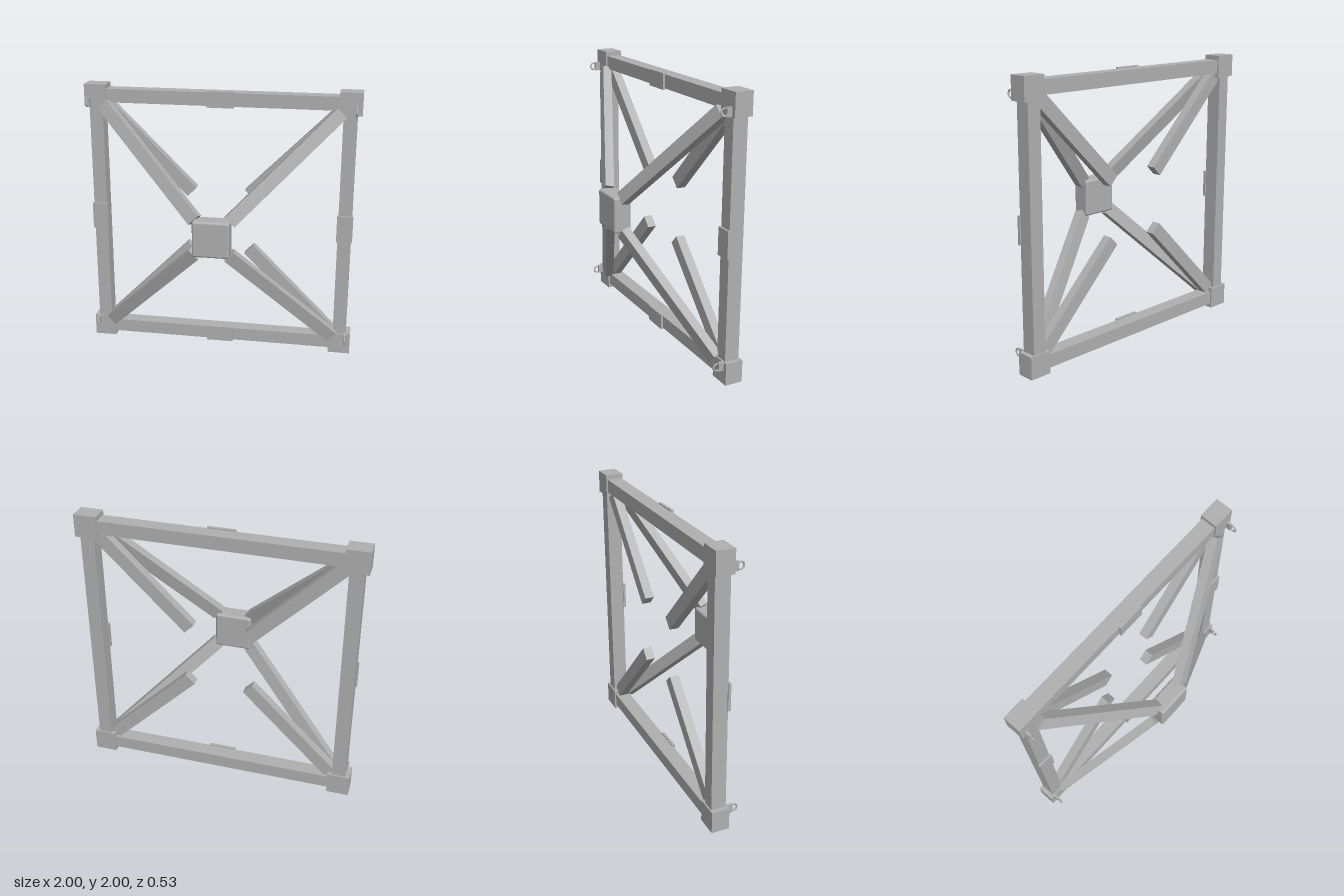
import * as THREE from 'three';
import { RoundedBoxGeometry } from 'three/addons/geometries/RoundedBoxGeometry.js';

export function createModel() {
  const model = new THREE.Group();
  model.name = 'bracedFrame';
  const steel = new THREE.MeshStandardMaterial({ color: 0xb0b0b0 });
  steel.name = 'greySteel';

  function add(name, geometry, x, y, z) {
    const mesh = new THREE.Mesh(geometry, steel);
    mesh.name = name;
    mesh.position.set(x, y, z);
    model.add(mesh);
    return mesh;
  }
  const box = (name, w, h, d, x, y, z) => add(name, new THREE.BoxGeometry(w, h, d), x, y, z);

  // Rectangular bar between two points, its wide face turned to the front
  function bar(name, from, to, width, depth) {
    const along = to.clone().sub(from);
    const length = along.length();
    along.normalize();
    const side = along.clone().cross(new THREE.Vector3(0, 0, 1)).normalize();
    const normal = side.clone().cross(along);
    const mid = from.clone().add(to).multiplyScalar(0.5);
    const mesh = box(name, width, length, depth, mid.x, mid.y, mid.z);
    mesh.quaternion.setFromRotationMatrix(new THREE.Matrix4().makeBasis(side, along, normal));
  }

  const R = 0.918; // centre line of the square frame
  const Z = -0.202; // depth of the square frame

  // Frame beams with a plate on the front of each
  for (const s of [-1, 1]) {
    box('horizontalBeam', 1.7, 0.098, 0.107, 0, 1 + s * R, Z);
    box('horizontalBeamPlate', 0.198, 0.116, 0.02, 0, 1 + s * R, -0.143);
    box('verticalBeam', 0.098, 1.7, 0.107, s * R, 1, Z);
    box('verticalBeamPlate', 0.116, 0.198, 0.02, s * R, 1, -0.143);
  }

  for (const sx of [-1, 1]) {
    for (const sy of [-1, 1]) {
      // Corner block
      box('cornerBlock', 0.162, 0.162, 0.13, sx * 0.919, 1 + sy * 0.919, Z);

      // Long brace leaning forward to the hub
      bar('hubBrace',
        new THREE.Vector3(sx * 0.855, 1 + sy * 0.855, -0.14),
        new THREE.Vector3(sx * 0.124, 1 + sy * 0.124, 0.193), 0.095, 0.066);

      // Short brace lying in the plane of the frame
      bar('shortBrace',
        new THREE.Vector3(sx * 0.87, 1 + sy * 0.87, Z),
        new THREE.Vector3(sx * 0.215, 1 + sy * 0.215, Z), 0.095, 0.066);

      // Lug with an eye ring
      const y = sy > 0 ? 1.873 : 0.133;
      box('lugBase', 0.018, 0.064, 0.04, sx * 0.962, y, -0.119);
      const ring = add('lugRing', new THREE.TorusGeometry(0.025, 0.006, 8, 24), sx * 0.962, y, -0.086);
      ring.rotation.y = Math.PI / 2;
    }
  }

  // Central hub
  add('hub', new RoundedBoxGeometry(0.267, 0.267, 0.13, 3, 0.016), 0, 1.003, 0.2);

  return model;
}
